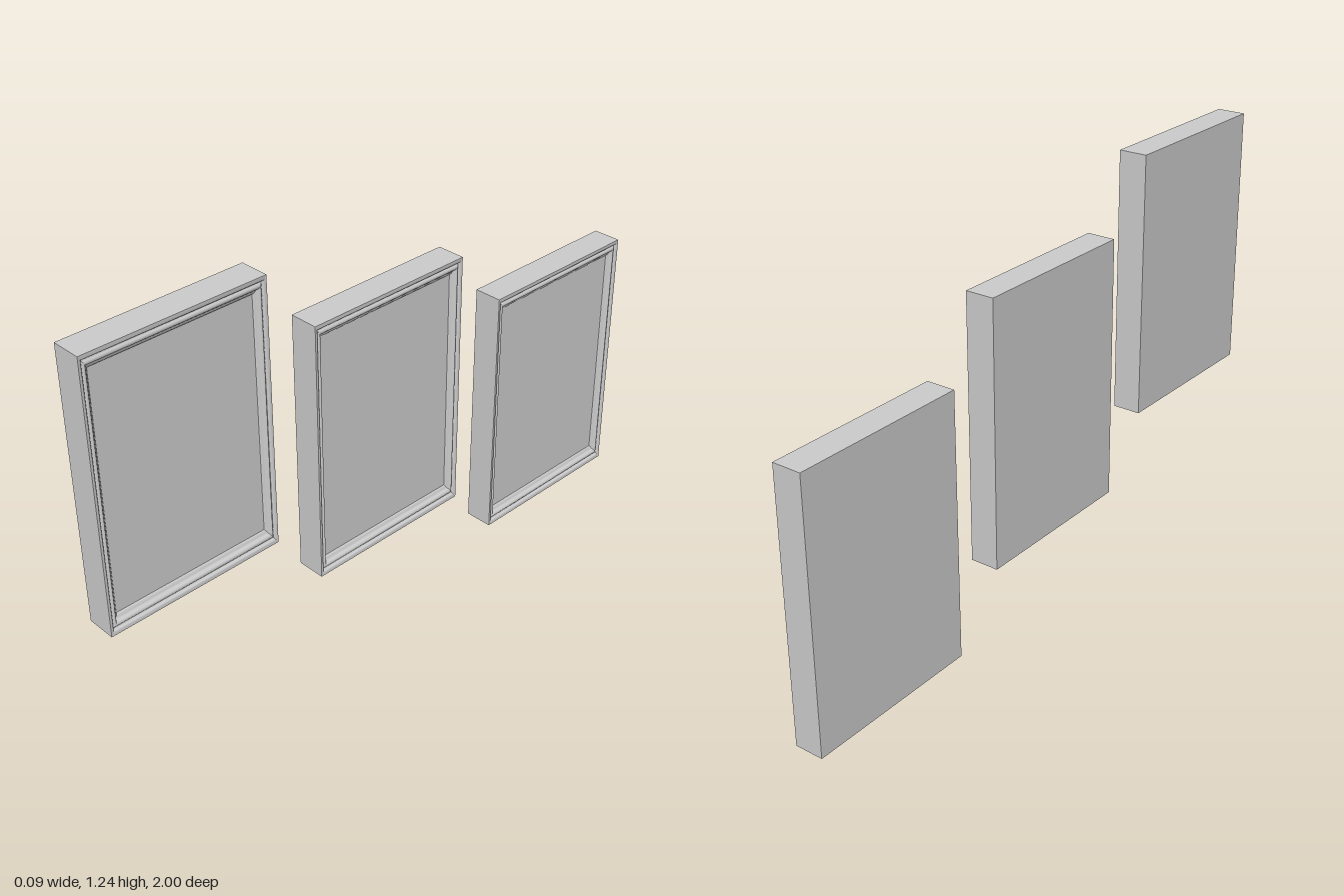
import * as THREE from 'three';

const HALF_Z = 0.28, HALF_Y = 0.4125, HALF_X = 0.045;
const INSET_Z = 0.033, INSET_Y = 0.05; // moulding width at the sides and at top/bottom
const PANEL_X = 0.026;

const material = new THREE.MeshStandardMaterial({ color: 0xcccccc });

// Sweeps a profile of [inset 0..1, x] around the rectangle, mitred at the corners
function mitredStrip(profile) {
  const corners = [[-1, 1], [-1, -1], [1, -1], [1, 1]];
  const positions = [], indices = [];
  for (let side = 0; side < 4; side++) {
    const base = positions.length / 3;
    for (const [t, x] of profile) {
      for (const [sy, sz] of [corners[side], corners[(side + 1) % 4]]) {
        positions.push(x, sy * (HALF_Y - t * INSET_Y), sz * (HALF_Z - t * INSET_Z));
      }
    }
    for (let i = 0; i < profile.length - 1; i++) {
      const a = base + i * 2, b = a + 1, d = a + 2, c = a + 3;
      indices.push(a, b, c, a, c, d);
    }
  }
  const geometry = new THREE.BufferGeometry();
  geometry.setAttribute('position', new THREE.Float32BufferAttribute(positions, 3));
  geometry.setIndex(indices);
  geometry.computeVertexNormals();
  return geometry;
}

// Moulding: flat rim, narrow groove, rounded bead, cove down to the panel
const mouldingProfile = [
  [0, 0.045], [0.2, 0.045], [0.27, 0.043], [0.32, 0.038], [0.38, 0.037],
  [0.43, 0.04], [0.5, 0.042], [0.6, 0.042], [0.68, 0.039], [0.73, 0.034],
  [0.8, 0.032], [0.88, 0.031], [0.95, 0.029], [1, PANEL_X],
];

function part(name, geometry) {
  const mesh = new THREE.Mesh(geometry, material);
  mesh.name = name;
  return mesh;
}

function createFrame() {
  const frame = new THREE.Group();
  frame.add(part('frameSides', mitredStrip([[0, -HALF_X], [0, HALF_X]])));
  frame.add(part('frameMoulding', mitredStrip(mouldingProfile)));

  const panel = new THREE.PlaneGeometry(2 * (HALF_Z - INSET_Z), 2 * (HALF_Y - INSET_Y));
  panel.rotateY(Math.PI / 2).translate(PANEL_X, 0, 0);
  frame.add(part('picturePanel', panel));

  const back = new THREE.PlaneGeometry(2 * HALF_Z, 2 * HALF_Y);
  back.rotateY(-Math.PI / 2).translate(-HALF_X, 0, 0);
  frame.add(part('backBoard', back));
  return frame;
}

export function createModel() {
  const model = new THREE.Group();
  model.name = 'steppedPictureFrames';
  // Bottom height and centre depth of each frame
  const places = [
    ['upperFrame', 0.41, 0.72],
    ['middleFrame', 0.2, 0.005],
    ['lowerFrame', 0, -0.72],
  ];
  for (const [name, bottom, z] of places) {
    const frame = createFrame();
    frame.name = name;
    frame.position.set(0, bottom + HALF_Y, z);
    model.add(frame);
  }
  return model;
}
